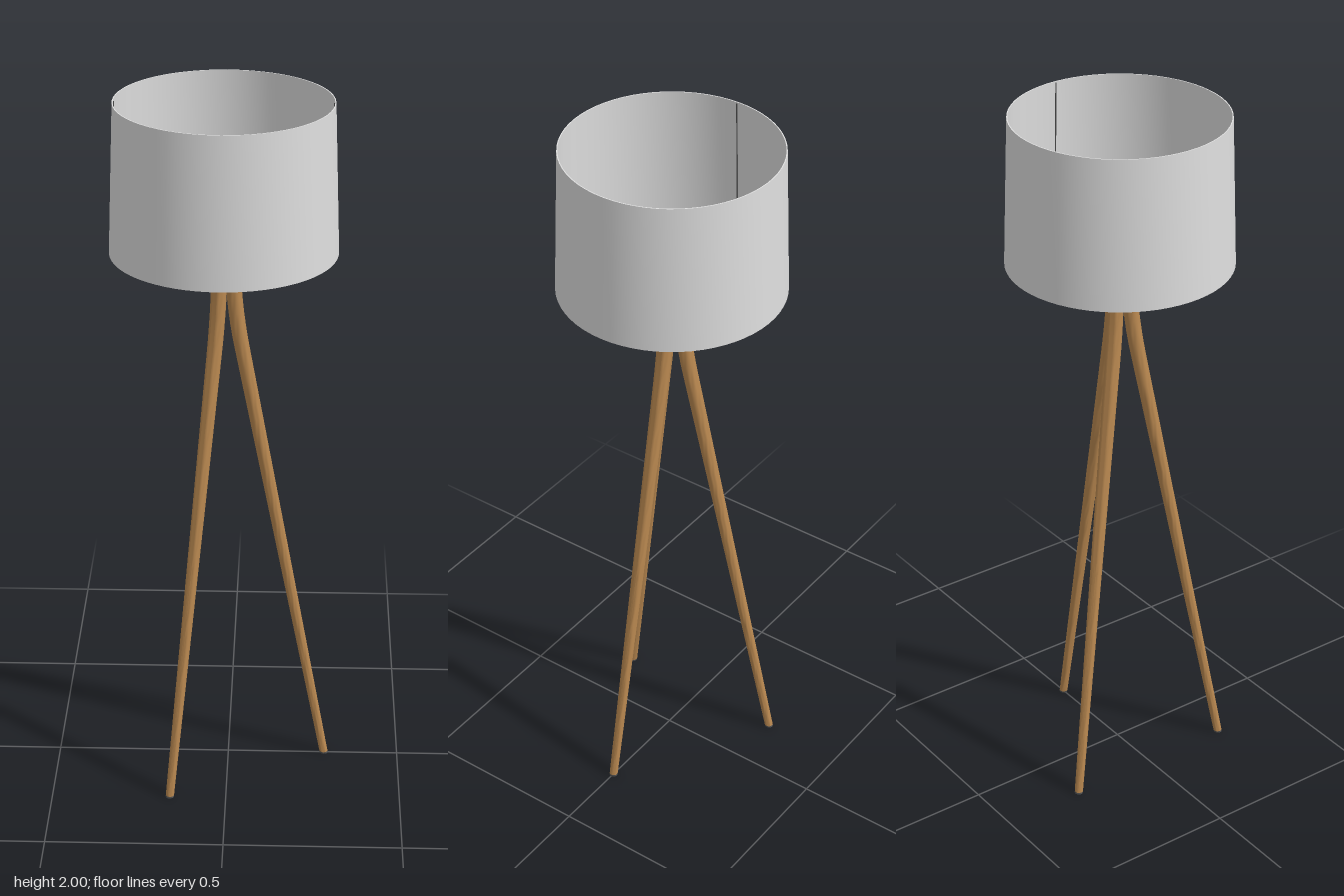
import * as THREE from 'three';
import { toCreasedNormals } from 'three/addons/utils/BufferGeometryUtils.js';

const AXIS_X = -0.013; // the lamp's axis, so that the footprint is centred
const LEG_TOP = 1.605;

export function createModel() {
  const wood = new THREE.MeshStandardMaterial({ name: 'wood', color: 0xb98850 });
  const fabric = new THREE.MeshStandardMaterial({ name: 'shade fabric', color: 0xdedede, side: THREE.DoubleSide });
  const metal = new THREE.MeshStandardMaterial({ name: 'dark metal', color: 0x505050 });

  const lamp = new THREE.Group();
  lamp.name = 'tripodFloorLamp';
  lamp.position.x = AXIS_X;

  const add = (parent, name, geometry, material) => {
    const mesh = new THREE.Mesh(geometry, material);
    mesh.name = name;
    parent.add(mesh);
    return mesh;
  };
  const lathe = (points, segments) => toCreasedNormals(
    new THREE.LatheGeometry(points.map(([r, y]) => new THREE.Vector2(r, y)), segments), 0.6);

  // Distance of a leg's centre line from the axis: straight, then bent upright near the top
  const bendStart = 1.3, bendEnd = 1.57, slope = 0.19;
  const legOffset = (y) => {
    if (y >= bendEnd) return 0.024;
    const span = bendEnd - bendStart;
    if (y >= bendStart) return 0.024 + slope * (bendEnd - y) ** 2 / (2 * span);
    return 0.024 + slope * (span / 2 + bendStart - y);
  };
  const legRadius = (y) => 0.012 + 0.0095 * Math.min(1, y / 1.35);

  // One leg section between two heights, leaning out along +x
  const legSection = (y0, y1, steps) => {
    const geometry = new THREE.CylinderGeometry(1, 1, y1 - y0, 20, steps);
    geometry.translate(0, (y0 + y1) / 2, 0);
    const p = geometry.attributes.position;
    for (let i = 0; i < p.count; i++) {
      const y = p.getY(i), r = legRadius(y);
      p.setXYZ(i, p.getX(i) * r + legOffset(y), y, p.getZ(i) * r);
    }
    return toCreasedNormals(geometry, 0.7);
  };

  // Three legs, each with a foot glide and a dark cap
  for (let i = 0; i < 3; i++) {
    const leg = new THREE.Group();
    leg.name = 'leg' + (i + 1);
    leg.rotation.y = i * Math.PI * 2 / 3;
    add(leg, 'legShaft', legSection(0.005, LEG_TOP, 40), wood);
    add(leg, 'footGlide', legSection(0, 0.005, 1), metal);
    add(leg, 'legCap', legSection(LEG_TOP, LEG_TOP + 0.004, 1), metal);
    lamp.add(leg);
  }

  // Thin tapered drum shade, open at both ends
  add(lamp, 'shade', lathe([
    [0.309, 1.58], [0.312, 1.58], [0.297, 2], [0.294, 2], [0.309, 1.58],
  ], 64), fabric);

  // Stem and socket
  add(lamp, 'socket', lathe([
    [0, 1.56], [0.007, 1.56], [0.007, 1.655], [0.018, 1.665], [0.02, 1.69], [0.013, 1.7], [0, 1.7],
  ], 24), metal);

  // Bulb
  add(lamp, 'bulb', lathe([
    [0, 1.698], [0.013, 1.7], [0.016, 1.72], [0.025, 1.745], [0.03, 1.765], [0.031, 1.78],
    [0.028, 1.795], [0.02, 1.806], [0.01, 1.811], [0, 1.812],
  ], 24), metal);

  // Wire carrier: an arm from the socket to the lower rim, then a rib up the inside
  for (const side of [1, -1]) {
    const arm = new THREE.CatmullRomCurve3([
      [0, 1.682], [0.04, 1.68], [0.08, 1.667], [0.19, 1.624], [0.307, 1.582],
    ].map(([x, y]) => new THREE.Vector3(side * x, y, 0)));
    add(lamp, 'shadeArm', new THREE.TubeGeometry(arm, 24, 0.002, 6), metal);
    const rib = new THREE.LineCurve3(
      new THREE.Vector3(side * 0.307, 1.582, 0), new THREE.Vector3(side * 0.2925, 1.998, 0));
    add(lamp, 'shadeRib', new THREE.TubeGeometry(rib, 1, 0.002, 6), metal);
  }

  const model = new THREE.Group();
  model.name = 'floorLamp';
  model.add(lamp);
  return model;
}
